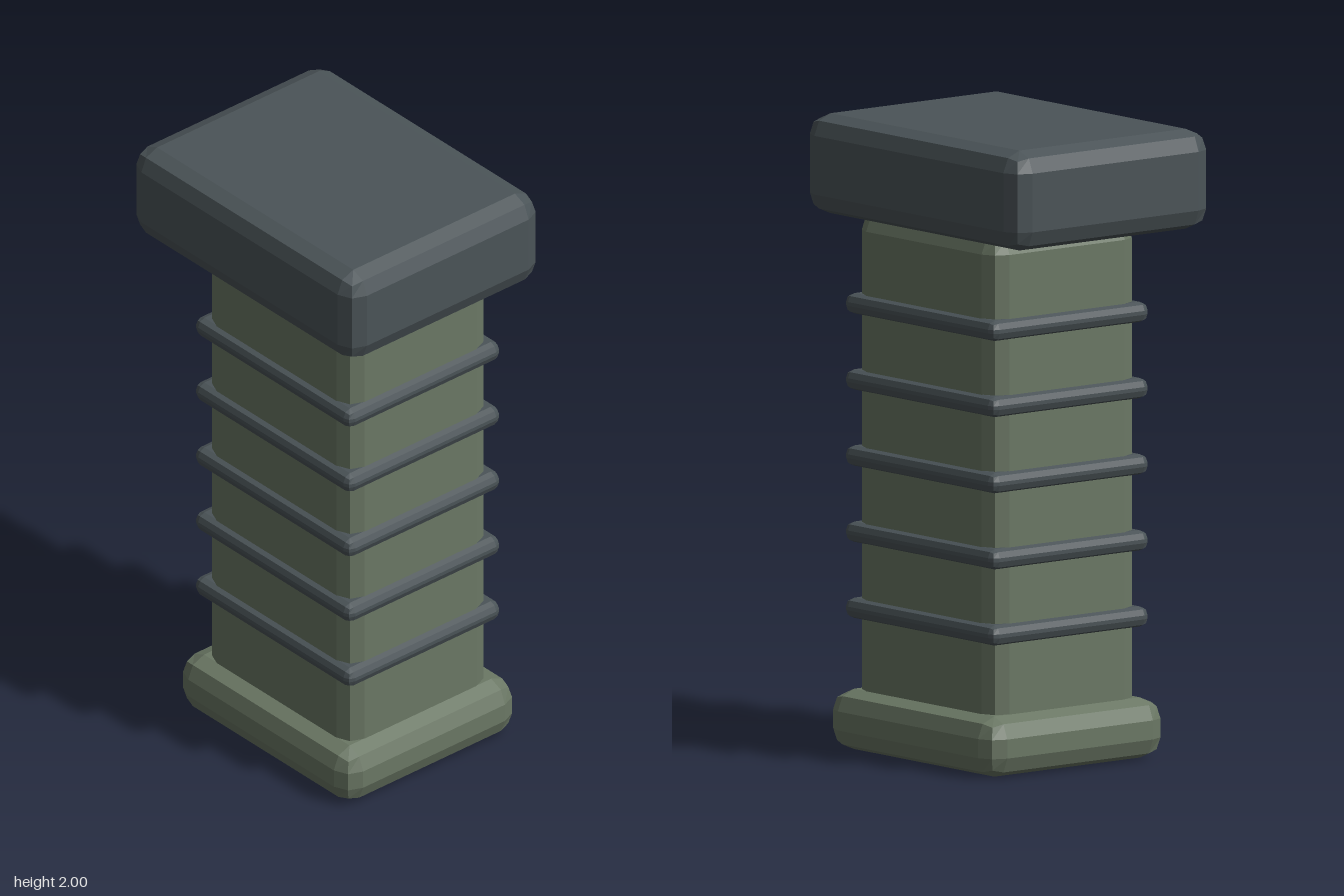
import * as THREE from 'three';
import { RoundedBoxGeometry } from 'three/addons/geometries/RoundedBoxGeometry.js';

export function createModel() {
  const model = new THREE.Group();
  model.name = 'foregrip';

  const green = new THREE.MeshStandardMaterial({ color: 0x6b7865 });
  green.name = 'olive green';
  const slate = new THREE.MeshStandardMaterial({ color: 0x4b5458 });
  slate.name = 'dark slate';

  // Faceted box with two-step bevels, spanning y0 to y1
  function block(name, material, width, depth, y0, y1, z, radius) {
    const geometry = new RoundedBoxGeometry(width, y1 - y0, depth, 1, radius);
    geometry.computeVertexNormals(); // unshared corners give flat facets
    const mesh = new THREE.Mesh(geometry, material);
    mesh.name = name;
    mesh.position.set(0, (y0 + y1) / 2, z);
    model.add(mesh);
  }

  // The handle sits slightly forward of the mount
  const gripZ = 0.055;

  block('mountBlock', slate, 0.796, 1.06, 1.685, 2, 0, 0.065);
  block('gripColumn', green, 0.586, 0.692, 0.1, 1.7, gripZ, 0.062);
  block('basePlate', green, 0.714, 0.82, 0, 0.19, gripZ, 0.065);

  // Evenly spaced grip ribs
  for (let i = 0; i < 5; i++) {
    const y = 0.445 + i * 0.24;
    block('gripRib' + (i + 1), slate, 0.633, 0.741, y - 0.032, y + 0.032, gripZ, 0.026);
  }

  return model;
}
